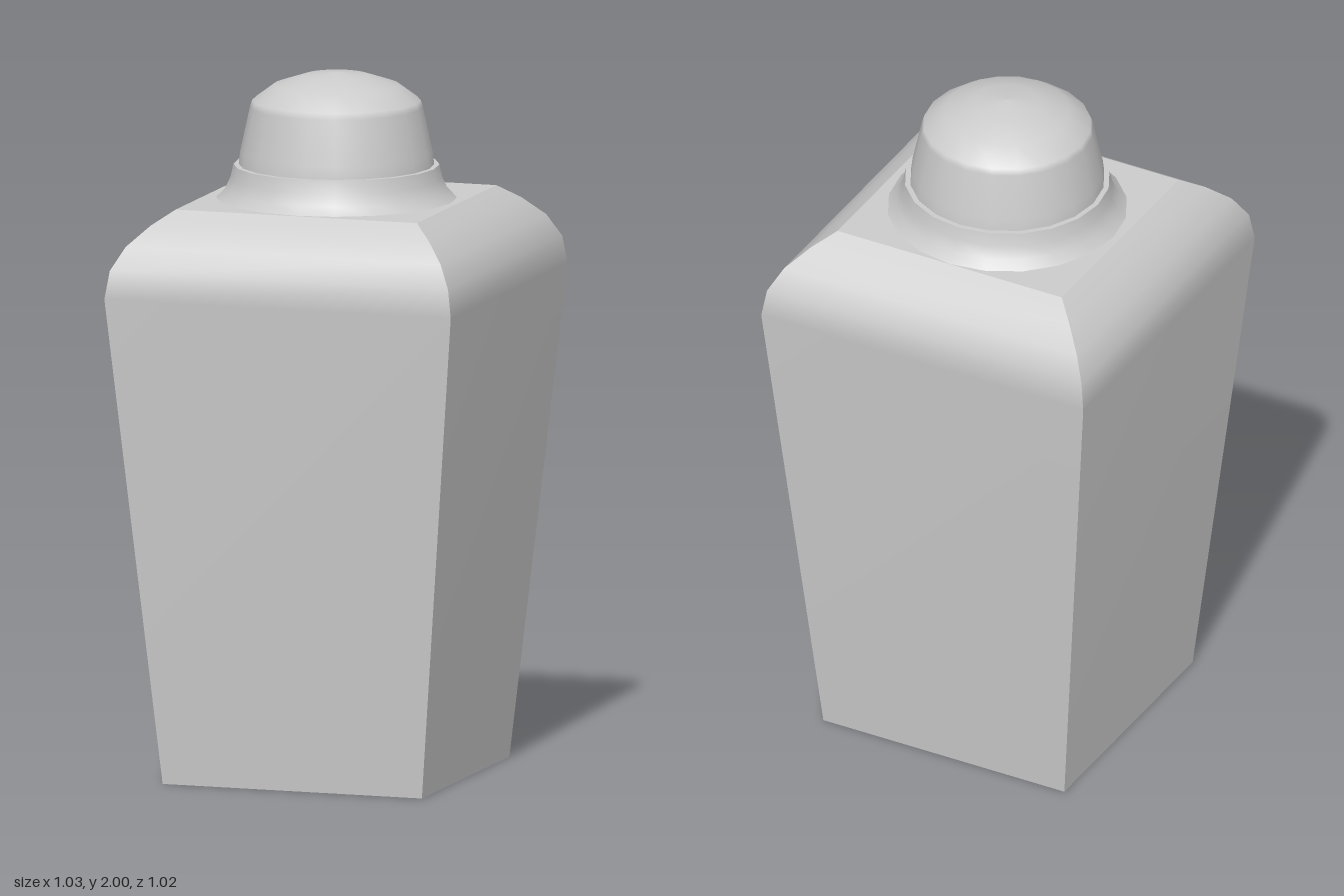
import * as THREE from 'three';
import { mergeGeometries } from 'three/addons/utils/BufferGeometryUtils.js';

const material = new THREE.MeshStandardMaterial({ color: 0xcccccc });

// Rectangular sections of the body: [half width, half depth, height]
const sections = [
  [0.387, 0.38, 0], [0.517, 0.508, 1.4], [0.505, 0.496, 1.48],
  [0.47, 0.459, 1.545], [0.415, 0.402, 1.6], [0.36, 0.345, 1.64],
];
const corners = [[-1, 1], [1, 1], [1, -1], [-1, -1]];
const corner = ([w, d, y], i) => [corners[i % 4][0] * w, y, corners[i % 4][1] * d];

function surface(points, index) {
  const g = new THREE.BufferGeometry();
  g.setAttribute('position', new THREE.Float32BufferAttribute(points.flat(), 3));
  g.setIndex(index);
  g.computeVertexNormals();
  return g;
}

// Four walls, smooth up the shoulder and sharp at the corners, plus flat ends
function bodyGeometry() {
  const parts = [];
  for (let side = 0; side < 4; side++) {
    const points = [], index = [];
    sections.forEach((s, k) => {
      points.push(corner(s, side), corner(s, side + 1));
      const a = 2 * k;
      if (k < sections.length - 1) index.push(a, a + 1, a + 3, a, a + 3, a + 2);
    });
    parts.push(surface(points, index));
  }
  const ring = (s) => [0, 1, 2, 3].map((i) => corner(s, i));
  parts.push(surface(ring(sections[sections.length - 1]), [0, 1, 2, 0, 2, 3]));
  parts.push(surface(ring(sections[0]), [0, 2, 1, 0, 3, 2]));
  return mergeGeometries(parts);
}

function lathe(profile) {
  return new THREE.LatheGeometry(profile.map(([r, y]) => new THREE.Vector2(r, y)), 20);
}

export function createModel() {
  const model = new THREE.Group();
  const add = (name, geometry, z = 0) => {
    const mesh = new THREE.Mesh(geometry, material);
    mesh.name = name;
    mesh.position.z = z;
    model.add(mesh);
  };

  add('body', bodyGeometry());

  // Flared neck with a narrow flat rim
  add('neck', lathe([[0.34, 1.64], [0.315, 1.664], [0.299, 1.698], [0.291, 1.735]]), -0.004);
  add('neckRim', lathe([[0.291, 1.735], [0.26, 1.735]]), -0.004);

  // Tapered cap with a domed top
  add('cap', lathe([
    [0.276, 1.735], [0.272, 1.77], [0.244, 1.9], [0.238, 1.918],
    [0.178, 1.962], [0.092, 1.99], [0, 2],
  ]), -0.004);
  return model;
}
